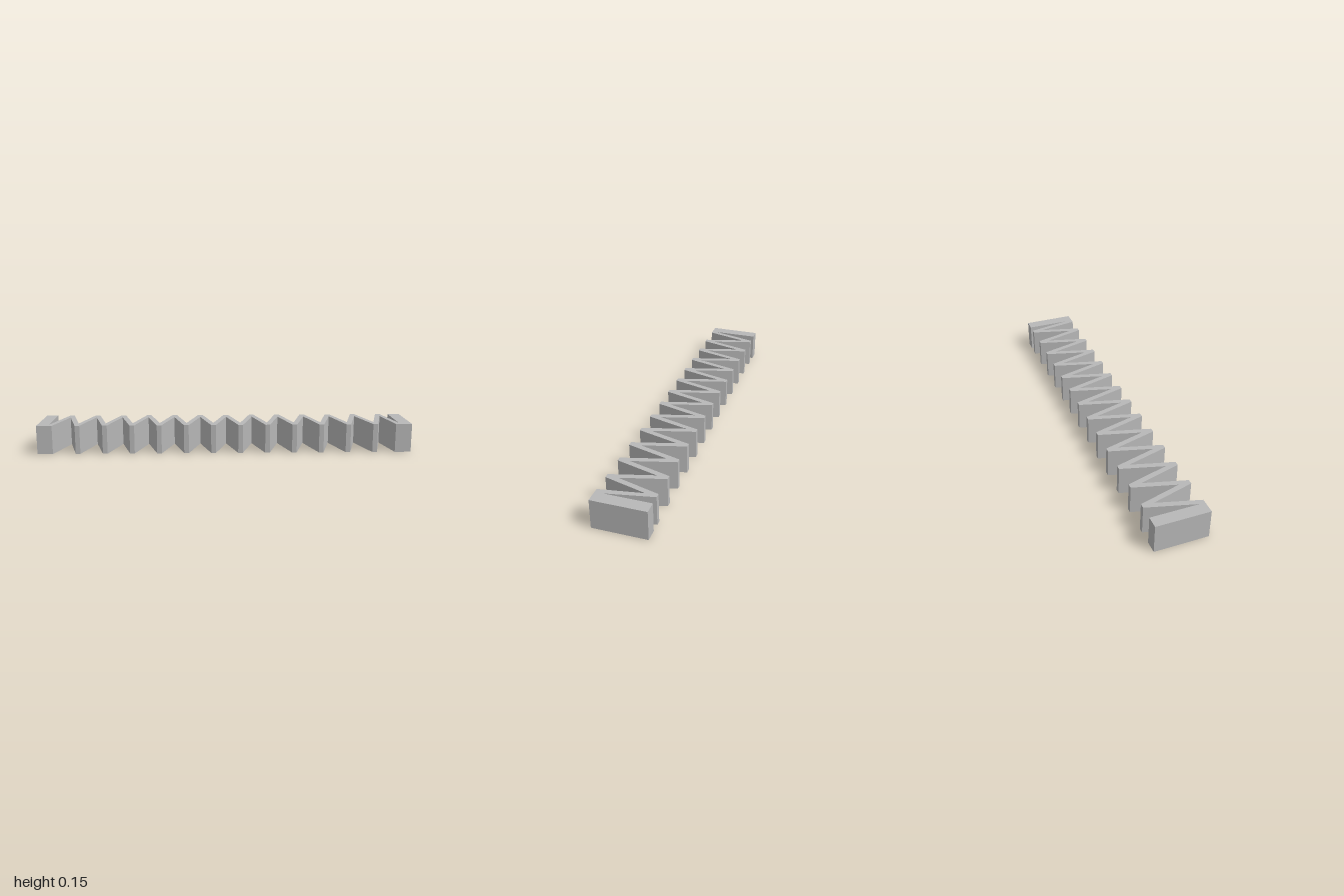
import * as THREE from 'three';

const HEIGHT = 0.153;
const HALF_DEPTH = 0.138;
const PEAKS = 13;
const FIRST_PEAK = -0.857;
const PITCH = 0.1445;
const TIP = 0.0125; // half width of each flat tip
const INNER = 0.08; // distance of the inner corners from the middle

export function createModel() {
  const model = new THREE.Group();
  model.name = 'zigzagSpring';
  const grey = new THREE.MeshStandardMaterial({ color: 0xb8b8b8 });
  grey.name = 'grey';

  // Front edge, left to right, as [x, z]
  const outline = [[-1, HALF_DEPTH], [-0.918, HALF_DEPTH]];
  for (let i = 0; i < PEAKS; i++) {
    const peak = FIRST_PEAK + i * PITCH;
    const valley = peak + PITCH / 2;
    outline.push([peak, -INNER]);
    if (i < PEAKS - 1) outline.push([valley - TIP, HALF_DEPTH], [valley + TIP, HALF_DEPTH]);
  }

  // Right end block
  outline.push([0.914, HALF_DEPTH], [1, HALF_DEPTH], [1, -HALF_DEPTH], [0.936, -HALF_DEPTH], [0.936, 0.1]);

  // Back edge, right to left
  for (let i = PEAKS - 1; i >= 0; i--) {
    const peak = FIRST_PEAK + i * PITCH;
    outline.push([peak + TIP, -HALF_DEPTH], [peak - TIP, -HALF_DEPTH]);
    if (i > 0) outline.push([peak - PITCH / 2, INNER]);
  }

  // Left end block
  outline.push([-0.938, 0.11], [-0.938, -HALF_DEPTH], [-1, -HALF_DEPTH]);

  // Raise the plan outline into the solid strip
  const shape = new THREE.Shape(outline.map(([x, z]) => new THREE.Vector2(x, -z)));
  const geometry = new THREE.ExtrudeGeometry(shape, { depth: HEIGHT, bevelEnabled: false });
  geometry.rotateX(-Math.PI / 2);
  const strip = new THREE.Mesh(geometry, grey);
  strip.name = 'zigzagStripWithEndBlocks';
  model.add(strip);
  return model;
}
